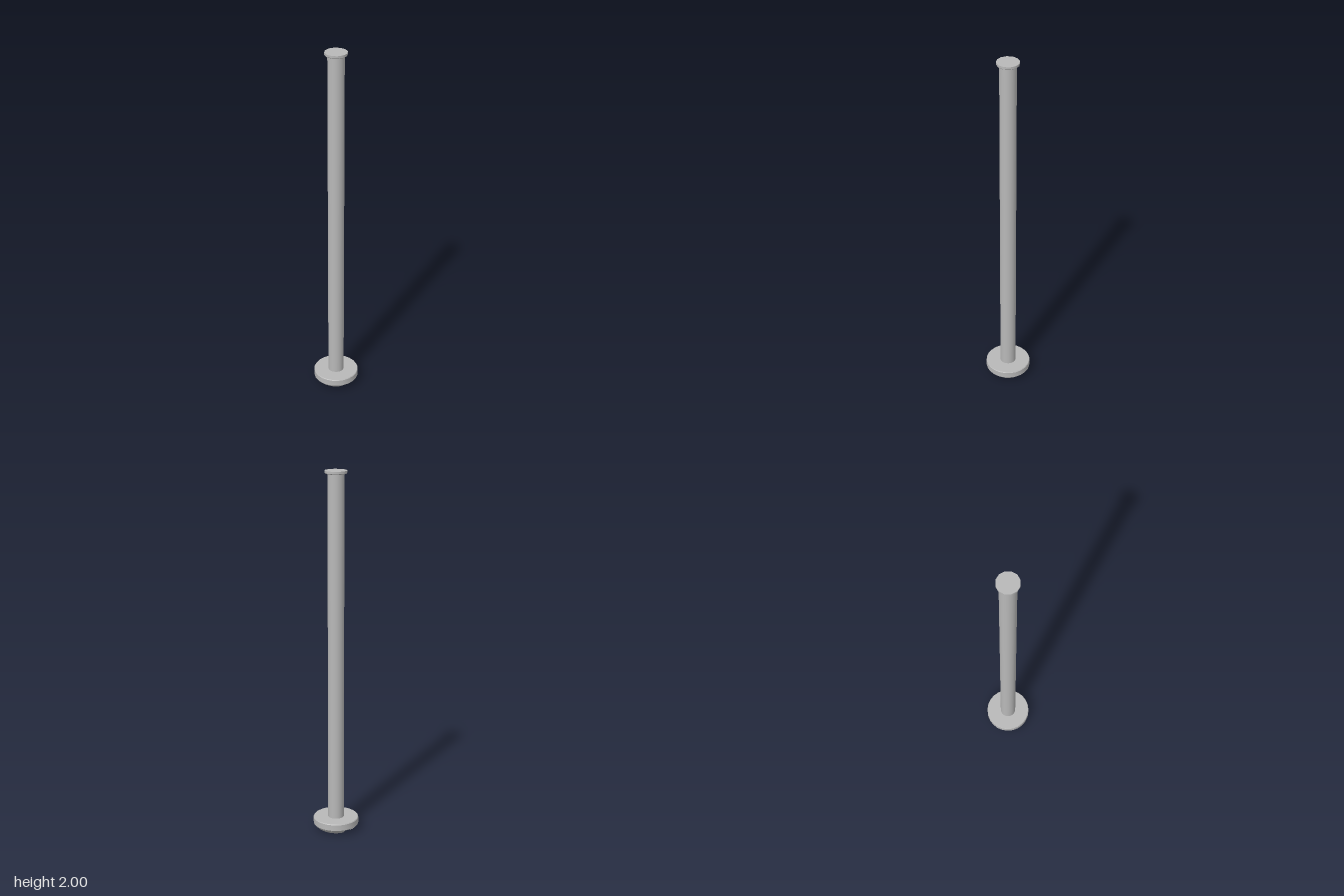
import * as THREE from 'three';
import { toCreasedNormals } from 'three/addons/utils/BufferGeometryUtils.js';

const SLOT = 0.035;   // half width of the straight driver slot
const NOTCH_W = 0.018; // half width of the short cross arms
const NOTCH_Z = 0.06;  // reach of the short cross arms
const ARC = 11;

// Outline of one half of the domed face at radius r, with the cross-arm notch
function halfOutline(r) {
  const pts = [];
  const a0 = Math.asin(SLOT / r);
  for (let i = 0; i <= ARC; i++) {
    const a = a0 + (Math.PI - 2 * a0) * i / ARC;
    pts.push(new THREE.Vector2(r * Math.cos(a), r * Math.sin(a)));
  }
  for (const [x, z] of [[-NOTCH_W, SLOT], [-NOTCH_W, NOTCH_Z], [NOTCH_W, NOTCH_Z], [NOTCH_W, SLOT]]) {
    pts.push(new THREE.Vector2(x, z));
  }
  return pts;
}

// Loft the outlines from the rim down to the flat driver face
function domeHalf() {
  const levels = [[0.031, 0.122], [0.015, 0.106], [0.006, 0.092], [0, 0.075]];
  const pos = [], idx = [];
  const loops = levels.map(([, r]) => halfOutline(r));
  const n = loops[0].length;
  loops.forEach((loop, k) => loop.forEach(p => pos.push(p.x, levels[k][0], p.y)));
  for (let k = 0; k < levels.length - 1; k++) {
    for (let i = 0; i < n; i++) {
      const a = k * n + i, b = k * n + (i + 1) % n, c = a + n, d = b + n;
      idx.push(a, b, c, b, d, c);
    }
  }
  const base = (levels.length - 1) * n;
  for (const [a, b, c] of THREE.ShapeUtils.triangulateShape(loops[levels.length - 1], [])) {
    idx.push(base + a, base + b, base + c);
  }
  const g = new THREE.BufferGeometry();
  g.setAttribute('position', new THREE.Float32BufferAttribute(pos, 3));
  g.setIndex(idx);
  return toCreasedNormals(g, 0.6);
}

// Closed turned part from [radius, y] points listed bottom to top
function turned(points, sides) {
  const g = new THREE.LatheGeometry(points.map(([r, y]) => new THREE.Vector2(r, y)), sides);
  return toCreasedNormals(g, 0.6);
}

export function createModel() {
  const group = new THREE.Group();
  const steel = new THREE.MeshStandardMaterial({ color: 0xb8b8b8, side: THREE.DoubleSide });
  steel.name = 'steel grey';

  const add = (name, geometry) => {
    const mesh = new THREE.Mesh(geometry, steel);
    mesh.name = name;
    group.add(mesh);
    return mesh;
  };

  // Long plain shaft
  const shaft = add('shaft', new THREE.CylinderGeometry(0.044, 0.044, 1.93, 24, 1, true));
  shaft.position.y = 0.06 + 1.93 / 2;

  // Small end flange
  add('endFlange', turned([[0, 1.984], [0.056, 1.984], [0.06, 1.988], [0.06, 2], [0, 2]], 12));

  // Head disc with a fine bevel on its upper edge
  add('headDisc', turned([[0, 0.031], [0.122, 0.031], [0.125, 0.035], [0.125, 0.068], [0.122, 0.072], [0, 0.072]], 24));

  // Domed driver face, split by the slot
  const dome = domeHalf();
  add('driverFaceFront', dome);
  add('driverFaceBack', dome).rotation.y = Math.PI;

  return group;
}
